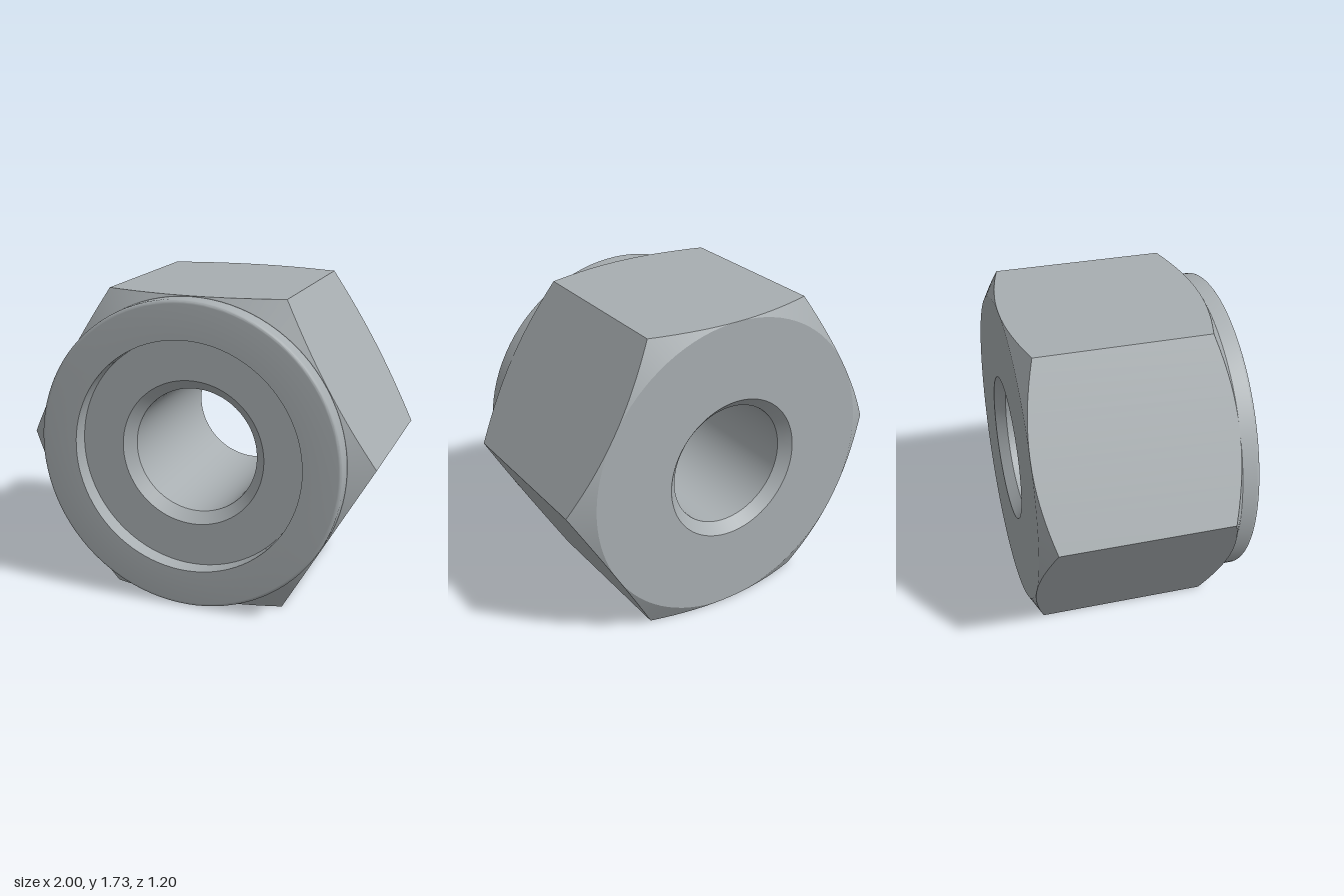
import * as THREE from 'three';
import { toCreasedNormals } from 'three/addons/utils/BufferGeometryUtils.js';

const APOTHEM = Math.sqrt(3) / 2; // hexagon with corner radius 1
const FRONT = 0.5, BACK = -0.6, COLLAR = 0.6;
const BORE = 0.352, MOUTH = 0.41, RECESS = 0.65, COLLAR_R = 0.862;
const STEPS = 16; // divisions per hexagon side

// Surface of revolution around z from [radius, z] points, with sharp edges kept
function turned(points) {
  const geometry = new THREE.LatheGeometry(points.map(([r, z]) => new THREE.Vector2(r, z)), STEPS * 6);
  geometry.rotateX(Math.PI / 2);
  return toCreasedNormals(geometry, 0.5);
}

// Builds a strip per hexagon side; row(t, r, mid) returns two points and a normal
function hexStrip(row) {
  const position = [], normal = [], index = [];
  for (let side = 0; side < 6; side++) {
    const mid = (side + 0.5) * Math.PI / 3;
    const start = position.length / 3;
    for (let j = 0; j <= STEPS; j++) {
      const t = mid + (j / STEPS - 0.5) * Math.PI / 3;
      const r = APOTHEM / Math.cos(t - mid);
      const { low, high, n } = row(t, r, mid);
      position.push(...low, ...high);
      normal.push(...n, ...n);
      if (j < STEPS) {
        const a = start + 2 * j;
        index.push(a, a + 2, a + 3, a, a + 3, a + 1);
      }
    }
  }
  const geometry = new THREE.BufferGeometry();
  geometry.setAttribute('position', new THREE.Float32BufferAttribute(position, 3));
  geometry.setAttribute('normal', new THREE.Float32BufferAttribute(normal, 3));
  geometry.setIndex(index);
  return geometry;
}

const polar = (r, t, z) => [r * Math.cos(t), r * Math.sin(t), z];
const drop = (r) => (r - APOTHEM) * Math.tan(Math.PI / 6); // 30 degree corner chamfer

export function createModel() {
  const group = new THREE.Group();
  group.name = 'hexNut';
  const steel = new THREE.MeshStandardMaterial({ color: 0xa8aeb1 });
  steel.name = 'steel';
  const add = (name, geometry) => {
    const mesh = new THREE.Mesh(geometry, steel);
    mesh.name = name;
    mesh.position.y = APOTHEM;
    group.add(mesh);
  };

  // Six flats with arched ends where the chamfers cut them
  add('hexFlats', hexStrip((t, r, mid) => ({
    low: polar(r, t, BACK + drop(r)),
    high: polar(r, t, FRONT - drop(r)),
    n: polar(1, mid, 0),
  })));

  // Conical corner chamfers
  add('frontChamfer', hexStrip((t, r) => ({
    low: polar(r, t, FRONT - drop(r)),
    high: polar(APOTHEM, t, FRONT),
    n: polar(0.5, t, APOTHEM),
  })));
  add('backChamfer', hexStrip((t, r) => ({
    low: polar(APOTHEM, t, BACK),
    high: polar(r, t, BACK + drop(r)),
    n: polar(0.5, t, -APOTHEM),
  })));

  // Round collar with a rolled front edge
  const fillet = 0.02, collar = [[APOTHEM, FRONT], [COLLAR_R, FRONT]];
  for (let i = 0; i <= 6; i++) {
    const a = i / 6 * Math.PI / 2;
    collar.push([COLLAR_R - fillet + fillet * Math.cos(a), COLLAR - fillet + fillet * Math.sin(a)]);
  }
  collar.push([RECESS, COLLAR]);
  add('collar', turned(collar));

  // Recess inside the collar
  add('recess', turned([[RECESS, COLLAR], [RECESS, FRONT], [MOUTH, FRONT]]));

  // Bore with a countersink at each end
  const sink = MOUTH - BORE;
  add('bore', turned([[MOUTH, FRONT], [BORE, FRONT - sink], [BORE, BACK + sink], [MOUTH, BACK]]));

  // Flat back
  add('backFace', turned([[MOUTH, BACK], [APOTHEM, BACK]]));

  return group;
}
